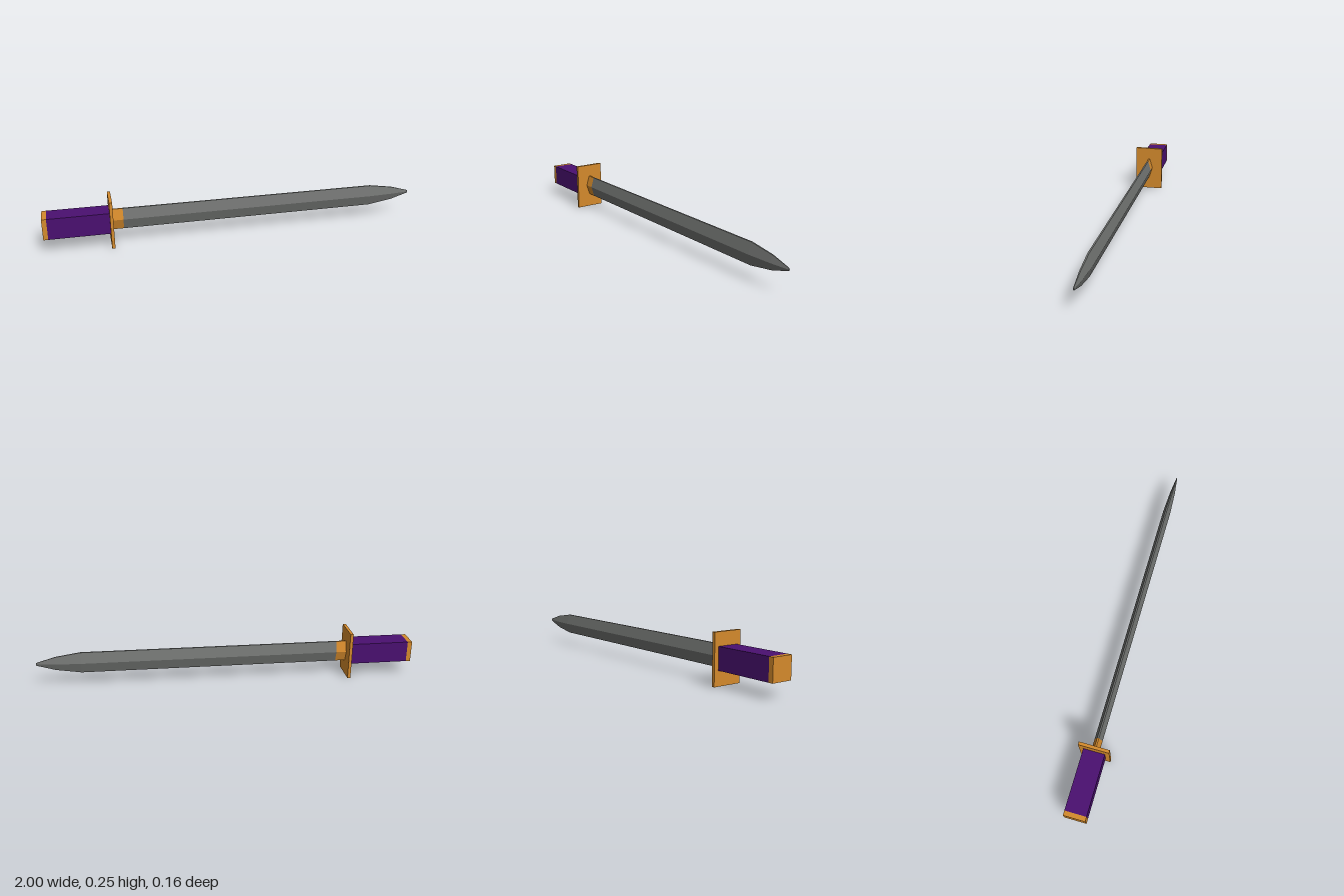
import * as THREE from 'three';

const CY = 0.131; // height of the sword's axis

const paint = (color) => new THREE.MeshStandardMaterial({ color, flatShading: true });

// Loft of a flattened diamond section along x; stations are [x, halfHeight, halfThickness, edgeHalfWidth]
function diamondLoft(stations) {
  const rings = stations.map(([x, h, t, e]) => [
    [x, h, e], [x, 0, t], [x, -h, e], [x, -h, -e], [x, 0, -t], [x, h, -e],
  ]);
  const pos = [];
  const tri = (a, b, c) => pos.push(...a, ...b, ...c);
  for (let i = 0; i < rings.length - 1; i++) {
    for (let j = 0; j < 6; j++) {
      const k = (j + 1) % 6;
      const a = rings[i][j], b = rings[i][k], c = rings[i + 1][k], d = rings[i + 1][j];
      tri(a, b, c);
      tri(a, c, d);
    }
  }
  const first = rings[0], last = rings[rings.length - 1];
  for (let j = 1; j < 5; j++) {
    tri(first[0], first[j + 1], first[j]);
    tri(last[0], last[j], last[j + 1]);
  }
  const geo = new THREE.BufferGeometry();
  geo.setAttribute('position', new THREE.Float32BufferAttribute(pos, 3));
  geo.computeVertexNormals();
  return geo;
}

export function createModel() {
  const sword = new THREE.Group();
  sword.name = 'sword';
  const gold = paint(0xd48a2c), purple = paint(0x4a1070), steel = paint(0x707270);

  const add = (name, geo, mat, x = 0) => {
    const mesh = new THREE.Mesh(geo, mat);
    mesh.name = name;
    mesh.position.set(x, CY, 0);
    sword.add(mesh);
  };
  // Block spanning x0..x1, centred on the axis
  const block = (name, x0, x1, height, depth, mat) =>
    add(name, new THREE.BoxGeometry(x1 - x0, height, depth), mat, (x0 + x1) / 2);

  // Hilt
  block('pommelCap', -1, -0.976, 0.112, 0.112, gold);
  block('grip', -0.976, -0.665, 0.112, 0.112, purple);
  block('guard', -0.665, -0.649, 0.254, 0.158, gold);
  sword.getObjectByName('guard').position.y = 0.127;

  // Collar and blade share one section
  add('bladeCollar', diamondLoft([
    [-0.65, 0.056, 0.021, 0.004],
    [-0.595, 0.056, 0.021, 0.004],
  ]), gold);
  add('blade', diamondLoft([
    [-0.595, 0.056, 0.021, 0.004],
    [0.77, 0.056, 0.021, 0.004],
    [0.9, 0.036, 0.014, 0.003],
    [1, 0.007, 0.003, 0.001],
  ]), steel);

  return sword;
}
